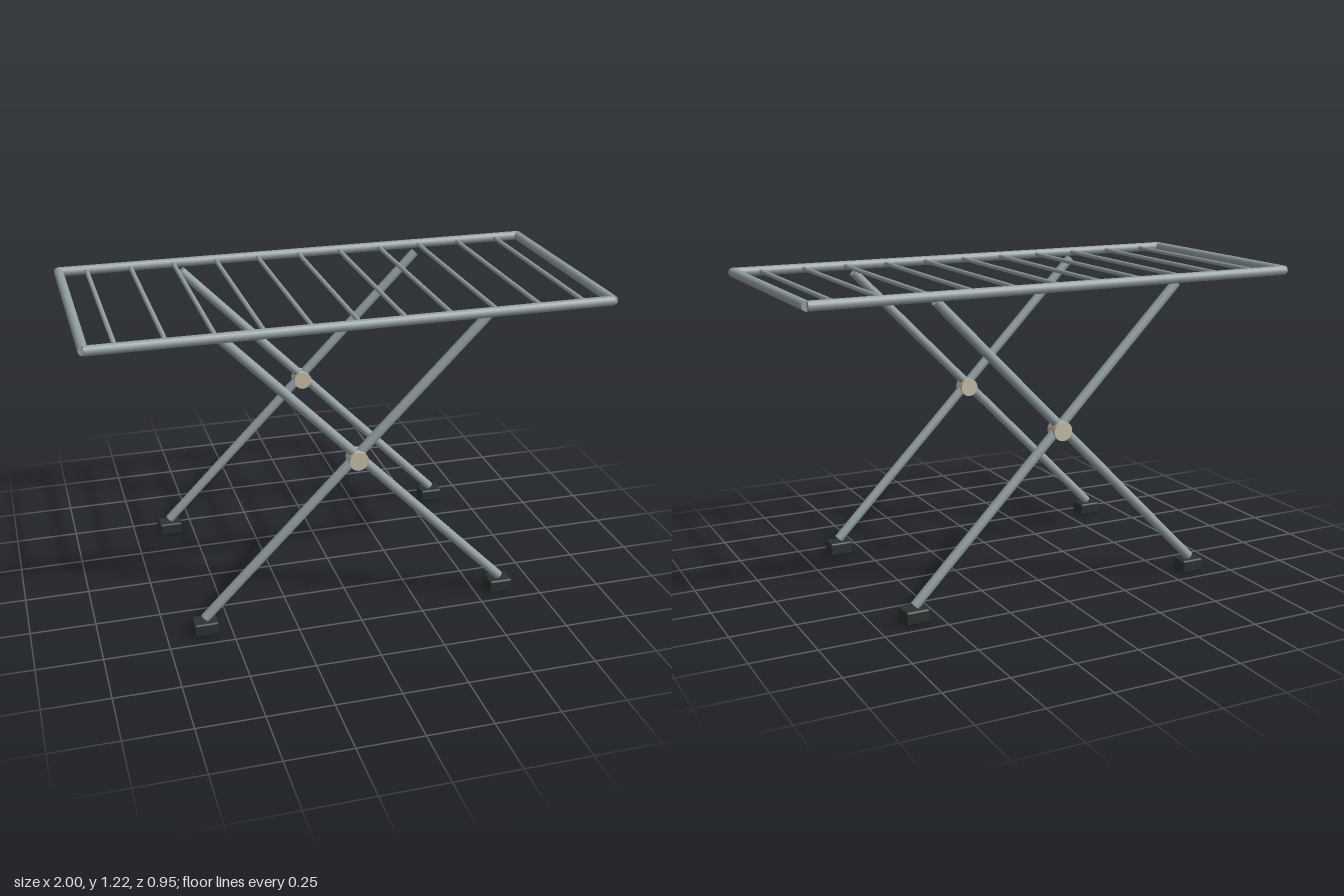
import * as THREE from 'three';
import { RoundedBoxGeometry } from 'three/addons/geometries/RoundedBoxGeometry.js';

const steel = new THREE.MeshStandardMaterial({ color: 0x939ea1 });
steel.name = 'steel grey';
const rubber = new THREE.MeshStandardMaterial({ color: 0x2a3232 });
rubber.name = 'dark rubber';
const hinge = new THREE.MeshStandardMaterial({ color: 0xc4bca8 });
hinge.name = 'beige plastic';

// Straight capped tube between two points
function rod(name, from, to, radius, material, sides = 16) {
  const a = new THREE.Vector3(...from);
  const b = new THREE.Vector3(...to);
  const dir = b.clone().sub(a);
  const mesh = new THREE.Mesh(new THREE.CylinderGeometry(radius, radius, dir.length(), sides), material);
  mesh.name = name;
  mesh.position.copy(a).add(b).multiplyScalar(0.5);
  mesh.quaternion.setFromUnitVectors(new THREE.Vector3(0, 1, 0), dir.normalize());
  return mesh;
}

export function createModel() {
  const model = new THREE.Group();
  model.name = 'foldingDryingRack';

  const tube = 0.0187;
  const topY = 1.203;
  const railX = 0.981;
  const railZ = 0.457;
  const legZ = 0.415;

  // Rectangular top frame
  const frame = new THREE.Group();
  frame.name = 'topFrame';
  for (const s of [-1, 1]) {
    frame.add(rod('longRail', [-railX, topY, s * railZ], [railX, topY, s * railZ], tube, steel));
    frame.add(rod('endRail', [s * railX, topY, -railZ], [s * railX, topY, railZ], tube, steel));
  }

  // Drying rungs between the long rails
  for (let i = -5; i <= 5; i++) {
    const x = i * 0.1744;
    frame.add(rod('rung', [x, topY, -railZ], [x, topY, railZ], 0.009, steel, 10));
  }
  model.add(frame);

  // Crossed legs with a hinge and feet on each long side
  for (const side of [-1, 1]) {
    const z = side * legZ;
    const legs = new THREE.Group();
    legs.name = side > 0 ? 'frontLegs' : 'backLegs';
    for (const s of [-1, 1]) {
      legs.add(rod('leg', [s * 0.6, 0.06, z], [s * -0.5, 1.18, z], tube, steel));
      const foot = new THREE.Mesh(new RoundedBoxGeometry(0.094, 0.053, 0.074, 2, 0.008), rubber);
      foot.name = 'foot';
      foot.position.set(s * 0.6, 0.0265, z);
      legs.add(foot);
    }
    legs.add(rod('hingePin', [0, 0.657, z - 0.029], [0, 0.657, z + 0.029], 0.0375, hinge));
    model.add(legs);
  }
  return model;
}
